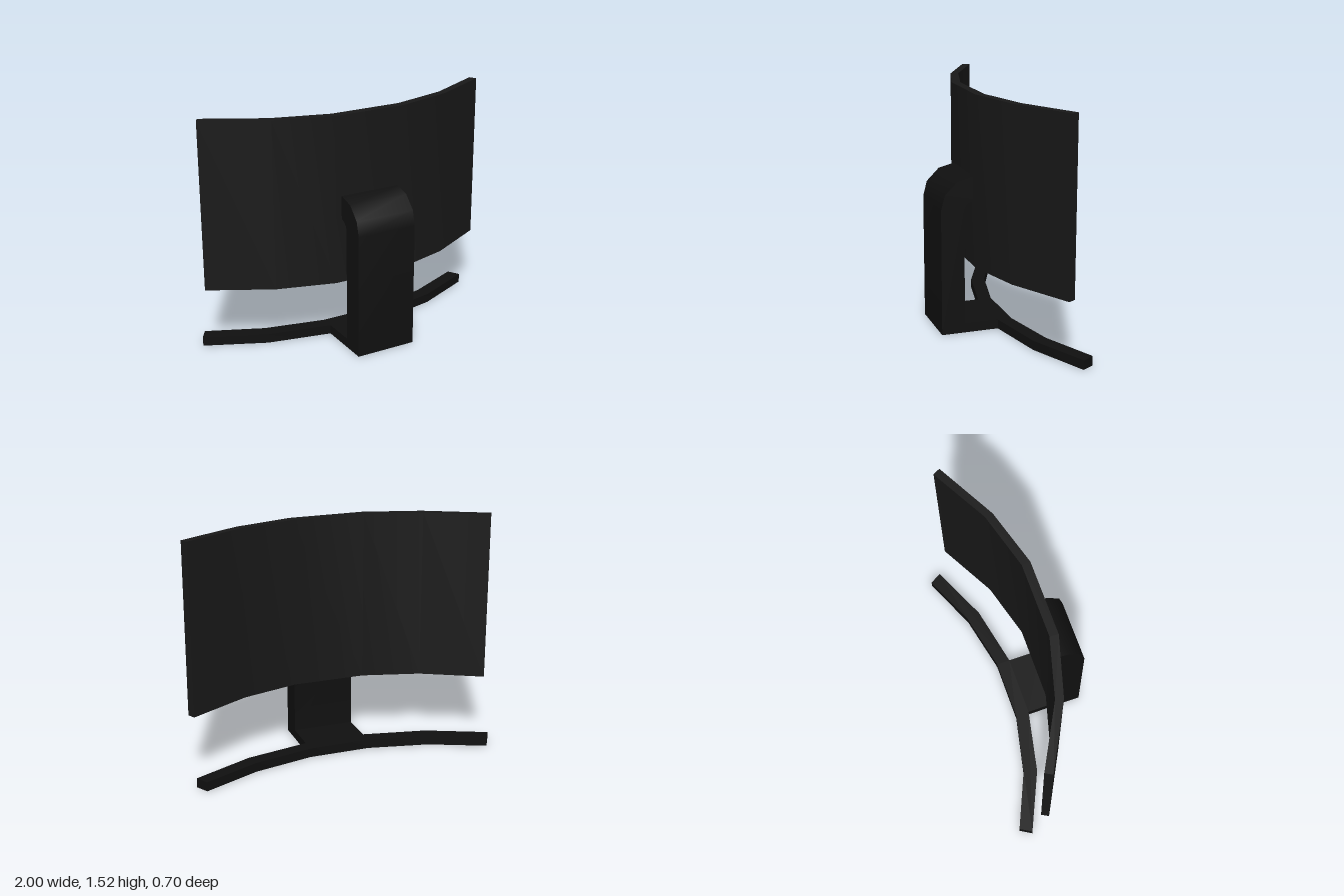
import * as THREE from 'three';
import { toCreasedNormals } from 'three/addons/utils/BufferGeometryUtils.js';

const screenMaterial = new THREE.MeshStandardMaterial({ color: 0x181818 });
const standMaterial = new THREE.MeshStandardMaterial({ color: 0x101010 });

function extrude(points, depth) {
  const shape = new THREE.Shape(points.map(([x, y]) => new THREE.Vector2(x, y)));
  return new THREE.ExtrudeGeometry(shape, { depth, bevelEnabled: false });
}

// Mirrors a half plan of [x, z] points (x > 0) and raises it from y0 to y1
function mirroredPlan(half, y0, y1) {
  const right = half.map(([x, z]) => [x, -z]);
  const left = half.map(([x, z]) => [-x, -z]).reverse();
  const geometry = extrude([...right, ...left], y1 - y0);
  geometry.rotateX(-Math.PI / 2).translate(0, y0, 0);
  return toCreasedNormals(geometry, 0.5);
}

// Extrudes a side profile of [z, y] points across the width
function sideProfile(profile, width) {
  const geometry = extrude(profile, width);
  geometry.rotateY(-Math.PI / 2).translate(width / 2, 0, 0);
  return toCreasedNormals(geometry, 0.6);
}

export function createModel() {
  const model = new THREE.Group();
  model.name = 'curvedMonitor';

  const add = (name, geometry, material) => {
    const mesh = new THREE.Mesh(geometry, material);
    mesh.name = name;
    model.add(mesh);
  };

  // Curved panel, bent in five straight facets
  add('screen', mirroredPlan([
    [0.24, 0.14], [0.61, 0.035], [1, -0.17],
    [0.975, -0.215], [0.6, -0.015], [0.235, 0.085],
  ], 0.435, 1.525), screenMaterial);

  // Foot: swept arms joined to the slab under the stand
  add('foot', mirroredPlan([
    [0.2, 0.21], [0.2, -0.02], [0.61, -0.105], [0.99, -0.275],
    [0.945, -0.35], [0.59, -0.195], [0.2, -0.11],
  ], 0, 0.06), standMaterial);

  // Upright that bends over to meet the panel
  add('stand', sideProfile([
    [0.2, 0], [0.35, 0], [0.35, 0.81], [0.325, 0.905], [0.245, 0.985],
    [0.145, 1.01], [0.11, 1.01], [0.11, 0.86], [0.145, 0.86],
    [0.17, 0.85], [0.19, 0.83], [0.2, 0.81],
  ], 0.4), standMaterial);

  return model;
}
